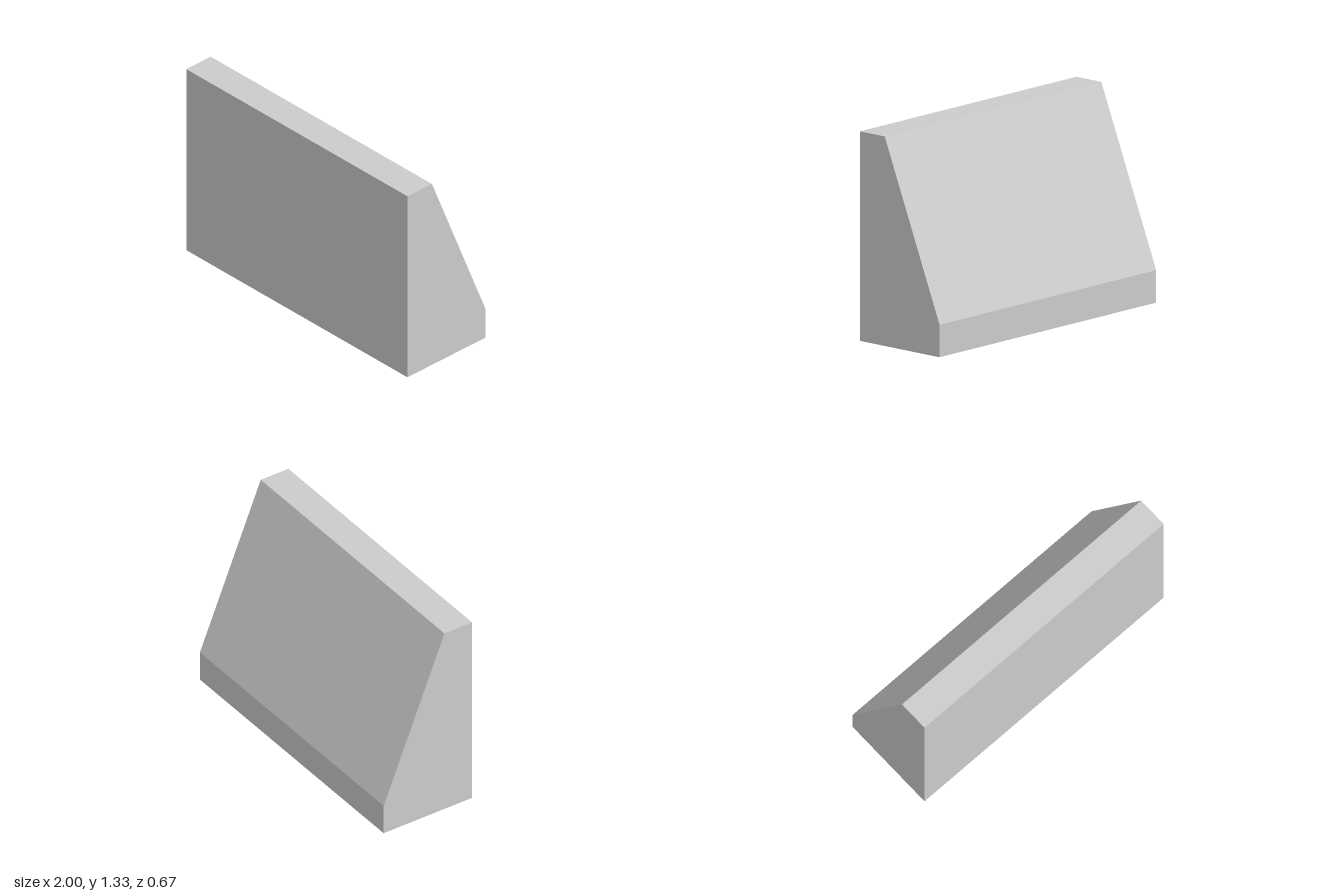
import * as THREE from 'three';

const WIDTH = 2;

// Side profile as [z, y]: upright front, narrow top, sloped back, low back lip
const PROFILE = [
  [0.333, 0],
  [0.333, 1.333],
  [0.125, 1.333],
  [-0.333, 0.207],
  [-0.333, 0],
];

export function createModel() {
  const group = new THREE.Group();
  group.name = 'slopedBlock';

  // Extrude the profile, centre it, then turn it so it runs along x
  const shape = new THREE.Shape(PROFILE.map(([z, y]) => new THREE.Vector2(z, y)));
  const geometry = new THREE.ExtrudeGeometry(shape, { depth: WIDTH, bevelEnabled: false });
  geometry.translate(0, 0, -WIDTH / 2);
  geometry.rotateY(-Math.PI / 2);

  const material = new THREE.MeshStandardMaterial({ color: 0xcccccc, flatShading: true });
  const wedge = new THREE.Mesh(geometry, material);
  wedge.name = 'wedgeBody';
  group.add(wedge);

  return group;
}
